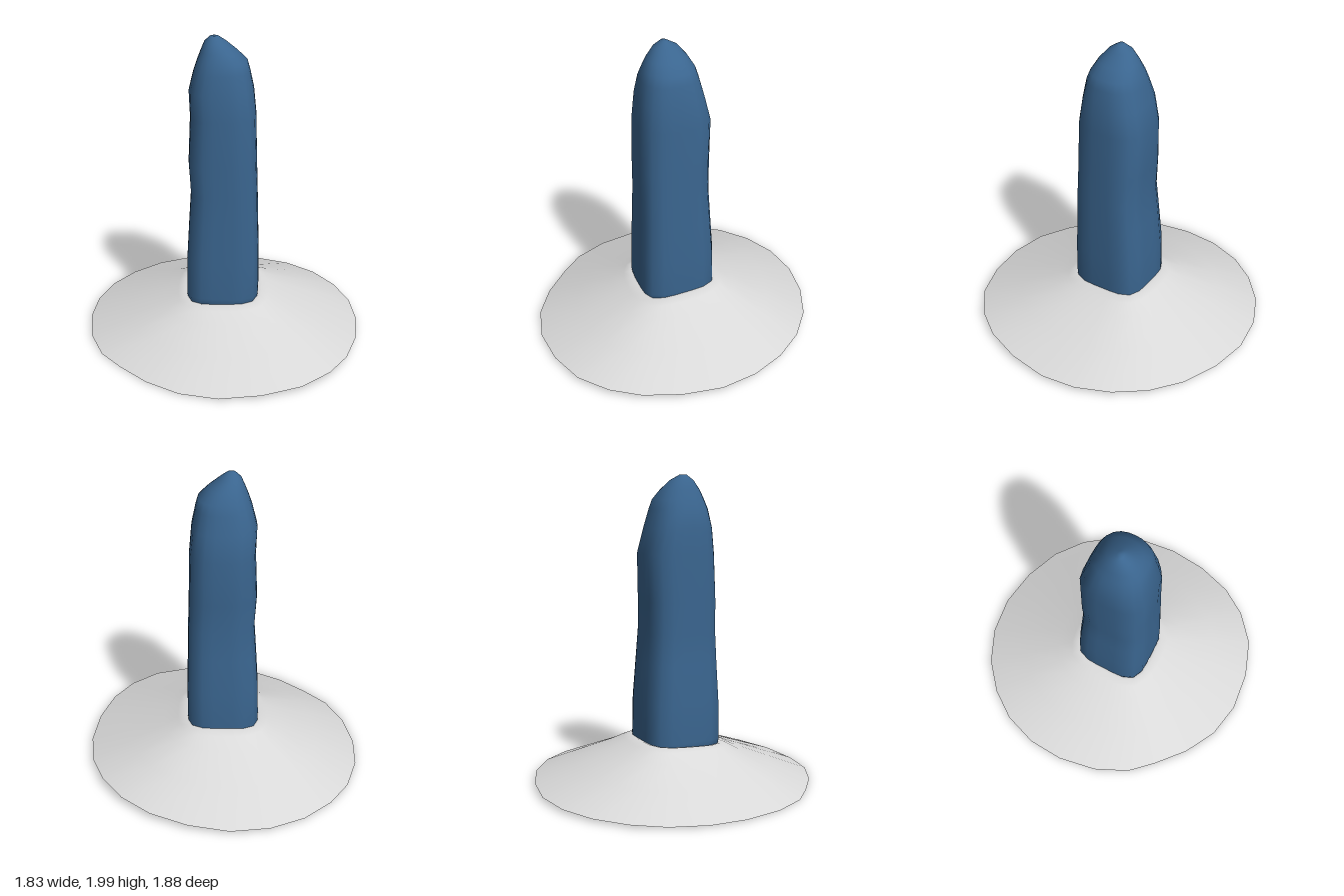
import * as THREE from 'three';

const SEG = 24;

// Smooth surface through closed rings (listed bottom to top), with optional end caps
function loft(rings, capBottom, capTop) {
  const pos = rings.flat(2), idx = [];
  for (let r = 0; r < rings.length - 1; r++) {
    for (let i = 0; i < SEG; i++) {
      const j = (i + 1) % SEG;
      const a = r * SEG + i, b = r * SEG + j, c = a + SEG, d = b + SEG;
      idx.push(a, c, b, b, c, d);
    }
  }
  const cap = (ring, start, up) => {
    const centre = pos.length / 3;
    const mean = [0, 1, 2].map(k => ring.reduce((s, p) => s + p[k], 0) / SEG);
    pos.push(...mean);
    for (let i = 0; i < SEG; i++) {
      const a = start + i, b = start + (i + 1) % SEG;
      if (up) idx.push(centre, b, a); else idx.push(centre, a, b);
    }
  };
  if (capBottom) cap(rings[0], 0, false);
  if (capTop) cap(rings[rings.length - 1], (rings.length - 1) * SEG, true);
  const g = new THREE.BufferGeometry();
  g.setAttribute('position', new THREE.Float32BufferAttribute(pos, 3));
  g.setIndex(idx);
  g.computeVertexNormals();
  return g;
}

// Unit rounded square; a larger n gives squarer corners
function unit(i, n) {
  const a = (i / SEG) * Math.PI * 2, c = Math.cos(a), s = Math.sin(a);
  const k = Math.pow(Math.pow(Math.abs(c), n) + Math.pow(Math.abs(s), n), -1 / n);
  return [c * k, s * k];
}

// Pillar sections: y, min x, max x, min z, max z, squareness
const SECTIONS = [
  [0.16, -0.17, 0.17, -0.18, 0.18, 3],
  [0.21, -0.23, 0.225, -0.24, 0.24, 4],
  [0.30, -0.24, 0.235, -0.25, 0.25, 4.5],
  [0.55, -0.235, 0.235, -0.243, 0.247, 4.5],
  [0.80, -0.22, 0.227, -0.225, 0.24, 4.2],
  [1.00, -0.207, 0.222, -0.21, 0.237, 4],
  [1.20, -0.22, 0.215, -0.215, 0.236, 3.6],
  [1.50, -0.208, 0.207, -0.225, 0.235, 3.2],
  [1.66, -0.215, 0.192, -0.19, 0.218, 2.8],
  [1.78, -0.185, 0.167, -0.16, 0.20, 2.5],
  [1.84, -0.165, 0.15, -0.14, 0.178, 2.4],
  [1.90, -0.142, 0.09, -0.105, 0.148, 2.2],
  [1.96, -0.117, 0.018, -0.055, 0.10, 2],
  [1.995, -0.08, -0.03, 0.01, 0.05, 2],
];

// Outer edge of the mound, as x, z pairs clockwise from +x
const RIM = [
  [0.91, 0], [0.88, 0.26], [0.8, 0.5], [0.68, 0.68], [0.5, 0.83], [0.26, 0.915],
  [0, 0.94], [-0.24, 0.89], [-0.45, 0.77], [-0.63, 0.61], [-0.77, 0.46], [-0.87, 0.24],
  [-0.915, -0.02], [-0.9, -0.26], [-0.82, -0.49], [-0.69, -0.67], [-0.51, -0.82], [-0.29, -0.915],
  [-0.04, -0.945], [0.22, -0.9], [0.46, -0.8], [0.65, -0.65], [0.79, -0.46], [0.88, -0.24],
];

// Mound slope: share of the way to the rim, share of the height
const SLOPE = [[1, 0], [0.6, 0.4], [0.24, 0.76], [0.1, 0.93], [0.03, 1], [-0.02, 0.97]];

export function createModel() {
  const blue = new THREE.MeshStandardMaterial({ color: 0x3a658f });
  blue.name = 'blue stone';
  const grey = new THREE.MeshStandardMaterial({ color: 0xdadada });
  grey.name = 'pale ground';
  grey.side = THREE.DoubleSide;

  const model = new THREE.Group();
  model.name = 'standingStone';

  // Tapering pillar with an off-centre peak
  const pillarRings = SECTIONS.map(([y, x0, x1, z0, z1, n]) =>
    Array.from({ length: SEG }, (_, i) => {
      const [u, v] = unit(i, n);
      return [(x0 + x1) / 2 + u * (x1 - x0) / 2, y, (z0 + z1) / 2 + v * (z1 - z0) / 2];
    }));
  const pillar = new THREE.Mesh(loft(pillarRings, true, true), blue);
  pillar.name = 'pillar';

  // Thin uneven mound, open beneath, wrapped around the pillar foot
  const moundRings = SLOPE.map(([f, h]) => RIM.map(([rx, rz], i) => {
    const [u, v] = unit(i, 4);
    const x = THREE.MathUtils.lerp(u * 0.238, rx, f);
    const z = THREE.MathUtils.lerp(v * 0.25, rz, f);
    const low = 0.02 + 0.012 * rx - 0.012 * rz + 0.04 * Math.max(0, rx) * Math.abs(rz);
    const high = 0.285 - 0.017 * v + 0.005 * u;
    return [x, THREE.MathUtils.lerp(low, high, h), z];
  }));
  const mound = new THREE.Mesh(loft(moundRings, false, false), grey);
  mound.name = 'mound';

  model.add(pillar, mound);
  return model;
}
